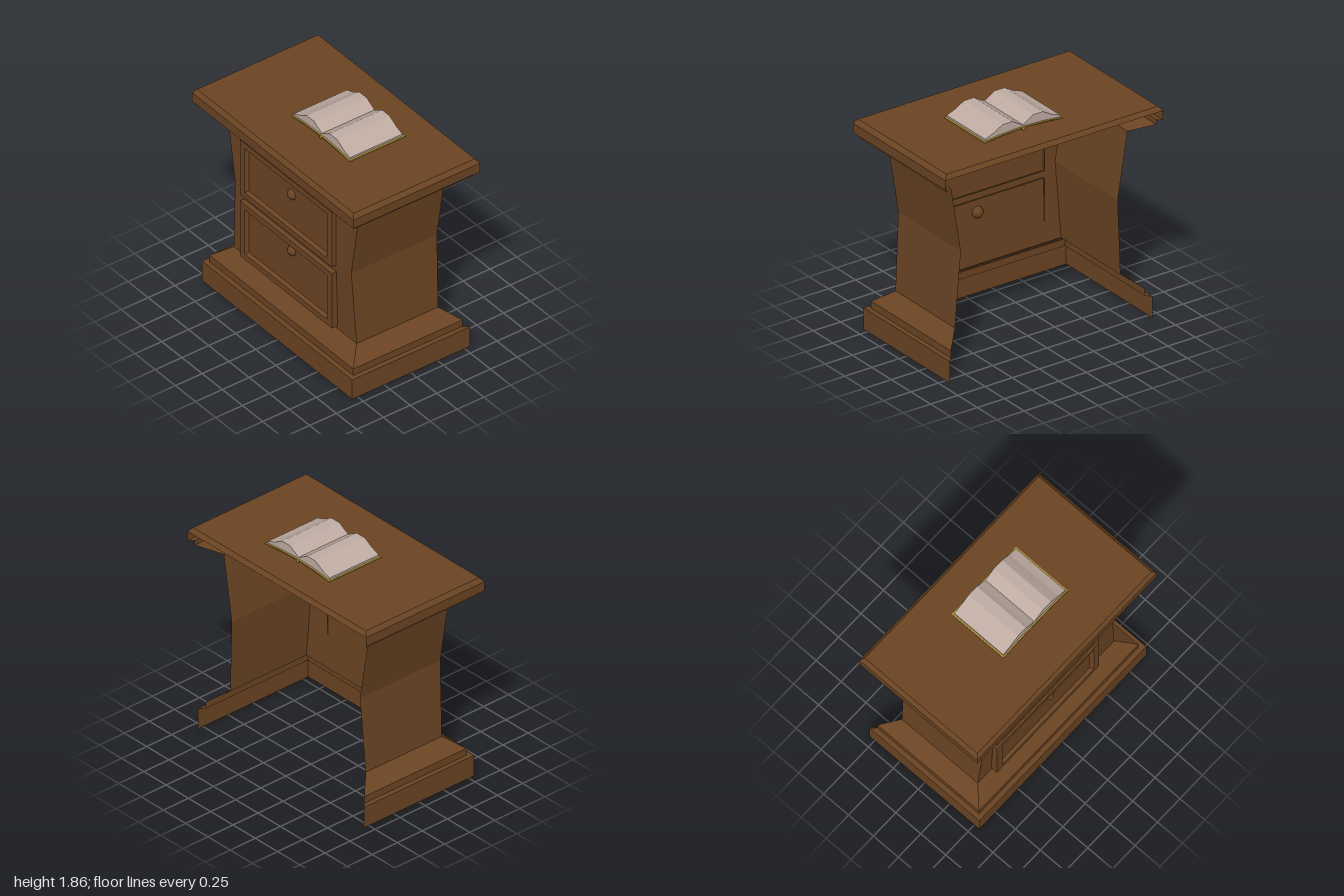
import * as THREE from 'three';

const material = (name, color) => {
  const m = new THREE.MeshStandardMaterial({ color, side: THREE.DoubleSide });
  m.name = name;
  return m;
};

// Faceted shell through rectangular rings [y, halfX, halfZ]; side 0 faces +x.
function ringShell(rings, keep = () => true) {
  const pos = [];
  const corners = ([y, x, z]) => [[x, y, z], [x, y, -z], [-x, y, -z], [-x, y, z]];
  const quad = (a, b, c, d) => pos.push(...a, ...b, ...c, ...a, ...c, ...d);
  for (let i = 0; i < rings.length - 1; i++) {
    const lo = corners(rings[i]), hi = corners(rings[i + 1]);
    for (let s = 0; s < 4; s++) {
      const n = (s + 1) % 4;
      if (keep(i, s)) quad(lo[s], lo[n], hi[n], hi[s]);
    }
  }
  quad(...corners(rings[rings.length - 1]));
  const geo = new THREE.BufferGeometry();
  geo.setAttribute('position', new THREE.Float32BufferAttribute(pos, 3));
  geo.computeVertexNormals();
  return geo;
}

// Extrudes a [z, y] profile along x from x0 to x1.
function extrudeX(points, x0, x1) {
  const shape = new THREE.Shape(points.map(([z, y]) => new THREE.Vector2(-z, y)));
  const geo = new THREE.ExtrudeGeometry(shape, { depth: x1 - x0, bevelEnabled: false });
  return geo.rotateY(Math.PI / 2).translate(x0, 0, 0);
}

export function createModel() {
  const root = new THREE.Group();
  root.name = 'desk';
  const wood = material('brown wood', 0x6b4423);
  const paper = material('pale paper', 0xbfaca3);
  const gold = material('gold cover', 0xa88b3a);
  const add = (parent, name, geo, mat) => {
    const mesh = new THREE.Mesh(geo, mat);
    mesh.name = name;
    parent.add(mesh);
    return mesh;
  };

  // Pedestal: three walls, open on the +x side and underneath
  const body = [
    [0, 0.55, 0.93], [0.18, 0.55, 0.93], [0.18, 0.51, 0.89], [0.24, 0.51, 0.89],
    [0.34, 0.38, 0.76], [0.98, 0.4, 0.72], [1.53, 0.4, 0.81], [1.605, 0.555, 0.963],
    [1.645, 0.555, 0.963], [1.645, 0.592, 1], [1.725, 0.592, 1], [1.76, 0.565, 0.97],
  ];
  const chamfer = body.length - 2;
  add(root, 'deskBody', ringShell(body, (i, s) => s !== 0 || i === chamfer), wood);

  // Drawers with raised frames, recessed panels and round knobs
  [['lowerDrawer', 0.625, 0.77], ['upperDrawer', 1.195, 1.29]].forEach(([name, y, knobY]) => {
    const drawer = new THREE.Group();
    drawer.name = name;
    const front = ringShell([
      [0.385, 0.255, 0.57], [0.438, 0.255, 0.57], [0.438, 0.205, 0.51], [0.41, 0.19, 0.495],
    ]);
    front.rotateZ(Math.PI / 2).translate(0, y, -0.04);
    add(drawer, 'drawerFront', front, wood);
    const knob = add(drawer, 'knob', new THREE.SphereGeometry(0.05, 8, 6).rotateZ(Math.PI / 2), wood);
    knob.position.set(-0.396, knobY, 0);
    root.add(drawer);
  });

  // Open book
  const book = new THREE.Group();
  book.name = 'openBook';
  const mid = 0.08;
  const both = (half) => [
    ...half.map(([d, y]) => [mid - d, y]),
    ...half.slice(0, -1).reverse().map(([d, y]) => [mid + d, y]),
  ];
  const coverTop = both([[0.36, 1.768], [0.2, 1.784], [0, 1.793]]);
  const coverBottom = coverTop.map(([z, y]) => [z, y - 0.008]).reverse();
  add(book, 'bookCover', extrudeX([...coverTop, ...coverBottom], -0.205, 0.315), gold);
  const pageTop = both([
    [0.345, 1.785], [0.27, 1.812], [0.225, 1.838], [0.185, 1.86],
    [0.095, 1.86], [0.06, 1.838], [0, 1.805],
  ]);
  const pageBottom = both([[0.345, 1.77], [0.2, 1.785], [0, 1.794]]).reverse();
  add(book, 'pages', extrudeX([...pageTop, ...pageBottom], -0.192, 0.3), paper);
  const spine = add(book, 'spine',
    new THREE.CylinderGeometry(0.014, 0.014, 0.52, 8).rotateZ(Math.PI / 2), gold);
  spine.position.set(0.055, 1.777, mid);
  root.add(book);

  return root;
}
